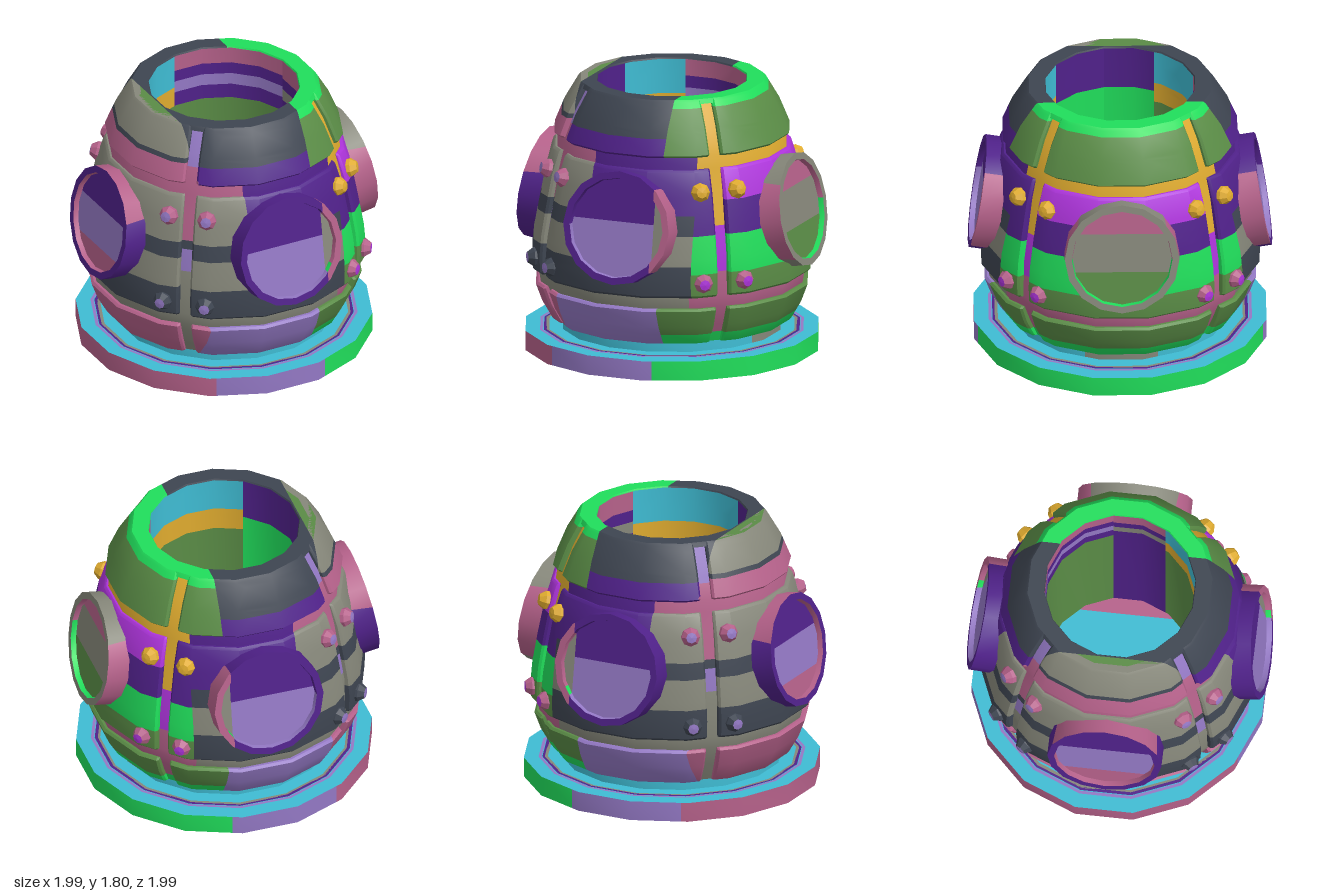
import * as THREE from 'three';
import { toCreasedNormals } from 'three/addons/utils/BufferGeometryUtils.js';

const COLORS = {
  cyan: 0x3fbcd3, green: 0x20de5b, olive: 0x5a8c46, khaki: 0x86877a, slate: 0x3e4551,
  purple: 0x50218a, lavender: 0x9378c4, pink: 0xb5618a, gold: 0xdfab2f, magenta: 0xae34dc,
};
const INF = Infinity;
const STEP = Math.PI / 8; // sixteen-sided body

// Cuts triangles along one axis-aligned plane.
function slice(tris, axis, c) {
  const out = [];
  for (const t of tris) {
    const d = t.map((v) => v[axis] - c);
    if (d.every((v) => v >= -1e-6) || d.every((v) => v <= 1e-6)) { out.push(t); continue; }
    const sides = [[], []];
    for (let i = 0; i < 3; i++) {
      const j = (i + 1) % 3;
      if (d[i] >= 0) sides[0].push(t[i]);
      if (d[i] <= 0) sides[1].push(t[i]);
      if (d[i] * d[j] < 0) {
        const k = d[i] / (d[i] - d[j]);
        const p = t[i].map((v, n) => v + (t[j][n] - v) * k);
        sides[0].push(p);
        sides[1].push(p);
      }
    }
    for (const s of sides) for (let i = 1; i + 1 < s.length; i++) out.push([s[0], s[i], s[i + 1]]);
  }
  return out;
}

// Splits a surface into flat colour patches. A map is a list of columns
// [xMax, [[yMax, colour], ...]], or one colour name for the whole part.
function paint(geometry, map, mats, name, crease = 0.5) {
  const cols = typeof map === 'string' ? [[INF, [[INF, map]]]] : map;
  const g = toCreasedNormals(geometry.index ? geometry.toNonIndexed() : geometry, crease);
  const p = g.attributes.position, n = g.attributes.normal;
  let tris = [];
  const vert = (i) => [p.getX(i), p.getY(i), p.getZ(i), n.getX(i), n.getY(i), n.getZ(i)];
  for (let i = 0; i < p.count; i += 3) tris.push([vert(i), vert(i + 1), vert(i + 2)]);
  const xs = new Set(cols.map((c) => c[0]));
  const ys = new Set(cols.flatMap((c) => c[1].map((r) => r[0])));
  for (const x of xs) if (x < INF) tris = slice(tris, 0, x);
  for (const y of ys) if (y < INF) tris = slice(tris, 1, y);
  const buckets = {};
  for (const t of tris) {
    const [cx, cy] = [0, 1].map((k) => (t[0][k] + t[1][k] + t[2][k]) / 3);
    const color = cols.find((c) => cx < c[0])[1].find((r) => cy < r[0])[1];
    (buckets[color] ??= []).push(...t);
  }
  const pos = [], nor = [], used = [], out = new THREE.BufferGeometry();
  for (const [color, verts] of Object.entries(buckets)) {
    out.addGroup(pos.length / 3, verts.length, used.length);
    used.push(mats[color]);
    for (const v of verts) { pos.push(...v.slice(0, 3)); nor.push(...v.slice(3)); }
  }
  out.setAttribute('position', new THREE.Float32BufferAttribute(pos, 3));
  out.setAttribute('normal', new THREE.Float32BufferAttribute(nor, 3));
  const mesh = new THREE.Mesh(out, used);
  mesh.name = name;
  return mesh;
}

// Joins neighbouring cross-sections with quads.
function loft(stations) {
  const pos = [];
  for (let i = 0; i + 1 < stations.length; i++) {
    const s = stations[i], e = stations[i + 1];
    for (let j = 0; j + 1 < s.length; j++) {
      pos.push(...s[j], ...e[j], ...s[j + 1], ...e[j], ...e[j + 1], ...s[j + 1]);
    }
  }
  const g = new THREE.BufferGeometry();
  g.setAttribute('position', new THREE.Float32BufferAttribute(pos, 3));
  return g;
}

// Point on the polygon whose flats lie at distance r from the axis.
function onBody(r, y, a) {
  const k = r / Math.cos(a - Math.round(a / STEP) * STEP);
  return [k * Math.sin(a), y, k * Math.cos(a)];
}

// Sixteen-sided ring, or part of one, from a profile.
function ring(profile, start = 0, count = 16) {
  const stations = [];
  for (let i = start; i <= start + count; i++) {
    stations.push(profile.map(([r, y]) => onBody(r, y, (i + 0.499999) * STEP)));
  }
  return loft(stations);
}

// Quarter plate with bevelled edges, between two diagonal seams.
function plate(profile, quarter) {
  const b = 0.015, depth = 0.06, first = profile[0], last = profile.at(-1);
  const section = [[first[0] - depth, first[1]], [first[0] - b, first[1]], [first[0], first[1] + b],
    ...profile.slice(1, -1), [last[0], last[1] - b], [last[0] - b, last[1]], [last[0] - depth, last[1]]];
  const mid = quarter * Math.PI / 2;
  const edge = (side, sink, gap) => section.map(([r, y]) =>
    onBody(r - sink, y, mid + side * (Math.PI / 4 - Math.atan(gap / r))));
  const stations = [edge(-1, depth, 0.04), edge(-1, b, 0.04), edge(-1, 0, 0.053)];
  for (const k of [-1.5, -0.5, 0.5, 1.5]) {
    stations.push(section.map(([r, y]) => onBody(r, y, mid + k * STEP * 0.999999)));
  }
  stations.push(edge(1, 0, 0.053), edge(1, b, 0.04), edge(1, depth, 0.04));
  return loft(stations);
}

export function createModel() {
  const model = new THREE.Group();
  model.name = 'divingHelmet';
  const mats = {};
  for (const [name, color] of Object.entries(COLORS)) {
    mats[name] = new THREE.MeshStandardMaterial({ color });
    mats[name].name = name;
  }
  const add = (geo, map, name, crease) => model.add(paint(geo, map, mats, name, crease));
  const lathe = (profile, sides) => new THREE.LatheGeometry(profile.map(([r, y]) => new THREE.Vector2(r, y)), sides);

  // Base flange, thin inlaid rings and neck
  add(ring([[0, 0.008], [0.955, 0.008]]), 'cyan', 'baseUnderside');
  add(ring([[0.955, 0], [0.955, 0.13]]),
    [[-0.5, [[INF, 'pink']]], [0.25, [[INF, 'lavender']]], [INF, [[INF, 'green']]]], 'baseEdge');
  add(ring([[0.955, 0.13], [0.6, 0.13]]), 'cyan', 'baseTop');
  [['lavender', 0.86], ['purple', 0.835], ['khaki', 0.82]].forEach(([c, r]) =>
    add(ring([[r, 0.133], [r - 0.02, 0.133]]), c, 'baseInlay'));
  add(ring([[0.71, 0.13], [0.71, 0.21]]), [[0.67, [[INF, 'cyan']]], [INF, [[INF, 'khaki']]]], 'neck');

  // Nested squares under the base
  [['lavender', 0.535], ['purple', 0.43], ['olive', 0.35], ['khaki', 0.28], ['cyan', 0.23]].forEach(([c, half], i) => {
    const g = new THREE.CylinderGeometry(half * Math.SQRT2, half * Math.SQRT2, 0.0015, 4);
    g.rotateY(-0.05).translate(0, 0.007 - i * 0.0015, 0);
    add(g, c, 'undersideSquare');
  });

  // Core shell seen in the seams
  add(ring([[0.6, 0.2], [0.735, 0.2], [0.8, 0.33], [0.855, 0.46], [0.867, 0.54], [0.86, 0.8], [0.825, 1.0],
    [0.785, 1.23], [0.748, 1.37], [0.738, 1.45], [0.665, 1.63], [0.575, 1.79]]), [
    [-0.24, [[0.85, 'khaki'], [1.0, 'lavender'], [1.06, 'slate'], [1.55, 'pink'], [INF, 'lavender']]],
    [0.44, [[0.54, 'khaki'], [1.46, 'purple'], [INF, 'gold']]],
    [INF, [[0.27, 'green'], [0.7, 'pink'], [1.0, 'magenta'], [INF, 'gold']]]], 'coreShell');

  // Three tiers of quarter plates
  const tiers = [
    ['lowerPlate', [[0.78, 0.2], [0.845, 0.33], [0.887, 0.46]], [
      [-0.5, [[INF, 'pink']]], [0.25, [[INF, 'lavender']]], [INF, [[0.27, 'green'], [INF, 'olive']]]]],
    ['middlePlate', [[0.907, 0.54], [0.912, 0.66], [0.9, 0.8], [0.865, 1.0], [0.825, 1.2], [0.775, 1.37]], [
      [-0.24, [[0.75, 'slate'], [0.95, 'khaki'], [1.06, 'slate'], [INF, 'khaki']]],
      [0.47, [[0.75, 'slate'], [0.95, 'khaki'], [1.08, 'slate'], [INF, 'purple']]],
      [0.56, [[0.7, 'olive'], [0.95, 'green'], [INF, 'purple']]],
      [INF, [[0.7, 'olive'], [0.95, 'green'], [1.17, 'purple'], [INF, 'magenta']]]]],
    ['upperPlate', [[0.767, 1.45], [0.7, 1.63], [0.61, 1.8]], [
      [-0.5, [[1.58, 'pink'], [1.61, 'slate'], [INF, 'khaki']]],
      [0.25, [[1.57, 'purple'], [INF, 'slate']]],
      [INF, [[1.75, 'olive'], [INF, 'green']]]]],
  ];
  for (const [name, profile, map] of tiers) {
    for (let q = 0; q < 4; q++) add(plate(profile, q), map, name);
  }

  // Neck opening, straight inside wall and floor
  add(ring([[0.61, 1.77], [0.595, 1.8], [0.49, 1.8], [0.485, 1.79]]), [
    [-0.5, [[INF, 'olive']]], [0.25, [[INF, 'slate']]], [INF, [[INF, 'green']]]], 'openingRim');
  const wall = [[0.485, 1.79], [0.485, 0.22]];
  add(ring(wall, 12, 8), [
    [-0.27, [[1.5, 'green'], [INF, 'purple']]],
    [0.42, [[1.4, 'olive'], [1.56, 'gold'], [INF, 'cyan']]],
    [INF, [[1.5, 'purple'], [1.58, 'khaki'], [1.66, 'purple'], [INF, 'pink']]]], 'insideWallFront');
  add(ring(wall, 4, 8), [
    [-0.43, [[1.5, 'green'], [INF, 'purple']]],
    [-0.11, [[1.42, 'olive'], [1.56, 'gold'], [INF, 'cyan']]],
    [INF, [[1.42, 'olive'], [1.52, 'purple'], [1.6, 'lavender'], [1.68, 'purple'], [INF, 'pink']]]], 'insideWallBack');
  add(ring([[0.49, 0.22], [0, 0.22]]), [
    [-0.02, [[INF, 'olive']]], [0.38, [[INF, 'cyan']]], [INF, [[INF, 'pink']]]], 'insideFloor');

  // Four tilted portholes: front, left, back, right
  const frontPort = {
    tube: [[0.25, [[INF, 'purple']]], [INF, [[INF, 'pink']]]],
    rim: [[0.25, [[INF, 'purple']]], [INF, [[INF, 'pink']]]],
    wall: [[0.25, [[1.0, 'lavender'], [INF, 'purple']]], [INF, [[0.85, 'green'], [INF, 'pink']]]],
    glass: [[0.25, [[1.04, 'lavender'], [INF, 'purple']]], [INF, [[INF, 'khaki']]]],
  };
  const leftPort = {
    tube: [[INF, [[0.72, 'khaki'], [1.23, 'pink'], [INF, 'khaki']]]],
    rim: 'khaki',
    wall: [[INF, [[1.0, 'green'], [INF, 'pink']]]],
    glass: [[INF, [[0.9, 'olive'], [1.16, 'khaki'], [INF, 'pink']]]],
  };
  const rightPort = {
    tube: [[INF, [[1.15, 'purple'], [INF, 'pink']]]],
    rim: 'purple',
    wall: 'pink',
    glass: [[INF, [[0.82, 'pink'], [1.08, 'lavender'], [INF, 'purple']]]],
  };
  const portParts = {
    tube: [[0.375, -0.28], [0.375, 0]],
    rim: [[0.375, 0], [0.33, 0]],
    wall: [[0.33, 0], [0.325, -0.035]],
    glass: [[0.325, -0.035], [0, -0.035]],
  };
  [frontPort, leftPort, frontPort, rightPort].forEach((maps, q) => {
    for (const [part, profile] of Object.entries(portParts)) {
      const g = lathe(profile, 16);
      g.rotateX(Math.PI / 2 - 0.167).translate(0, 1.005, 0.933).rotateY(q * Math.PI / 2);
      add(g, maps[part], 'porthole' + part[0].toUpperCase() + part.slice(1));
    }
  });

  // Faceted rivets beside every diagonal seam; colours are given as [right, left]
  const rivetRows = [
    { y: 1.23, r: 0.82, tilt: -0.2, side: ['pink', 'gold'], head: ['lavender', 'gold'] },
    { y: 0.64, r: 0.91, tilt: 0, side: ['slate', 'pink'], head: ['lavender', 'magenta'] },
  ];
  const rivetParts = { side: [[0.063, -0.03], [0.063, 0.02], [0.036, 0.06]], head: [[0.036, 0.06], [0, 0.065]] };
  for (const row of rivetRows) {
    for (let q = 0; q < 4; q++) for (const s of [-1, 1]) {
      for (const [part, profile] of Object.entries(rivetParts)) {
        const g = lathe(profile, 8);
        g.rotateX(Math.PI / 2 + row.tilt).translate(0, row.y, row.r);
        g.rotateY(Math.PI / 4 + q * Math.PI / 2 + s * 0.157);
        add(g, row[part][q < 2 ? 1 : 0], 'rivet' + (part === 'side' ? 'Side' : 'Head'), 0.01);
      }
    }
  }
  return model;
}
